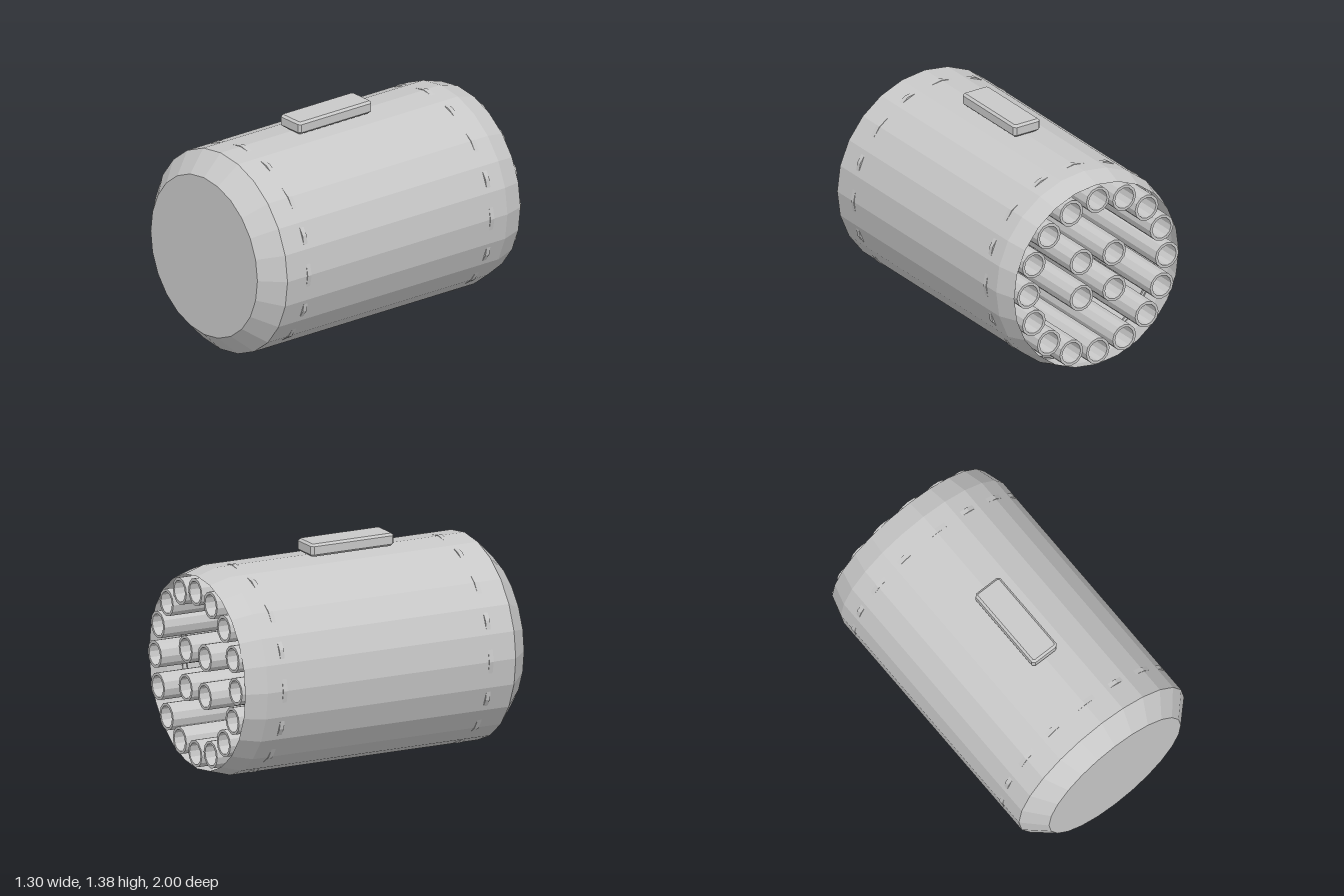
import * as THREE from 'three';

const CENTRE_Y = 0.65;

// Facet a geometry so every polygon is shaded flat
function faceted(geometry) {
  const g = geometry.index ? geometry.toNonIndexed() : geometry;
  g.computeVertexNormals();
  return g;
}

// Revolve [radius, z] pairs (from back to front) around the z axis
function revolve(profile, sides) {
  const points = profile.map(([r, z]) => new THREE.Vector2(r, z));
  return faceted(new THREE.LatheGeometry(points, sides).rotateX(Math.PI / 2));
}

export function createModel() {
  const model = new THREE.Group();
  model.name = 'launcherPod';
  const grey = new THREE.MeshStandardMaterial({ color: 0xc8c8c8, side: THREE.DoubleSide });
  grey.name = 'lightGrey';

  function add(name, geometry, x = 0, y = CENTRE_Y, z = 0) {
    const mesh = new THREE.Mesh(geometry, grey);
    mesh.name = name;
    mesh.position.set(x, y, z);
    model.add(mesh);
  }

  // Hollow shell: open tapered back, straight barrel, chamfered closed front
  add('shell', revolve([[0.605, -0.985], [0.645, -0.85], [0.645, 0.87], [0.515, 1], [0, 1]], 24));

  // Two bands whose corners just break through the shell
  for (const z of [0.7, -0.73]) {
    add('band', revolve([[0.64, -0.015], [0.65, -0.015], [0.65, 0.015], [0.64, 0.015]], 16), 0, CENTRE_Y, z);
  }

  // Open tubes: sixteen around the rim and four in the middle
  const tube = revolve([[0.068, 0.85], [0.068, -1], [0.086, -1], [0.086, 0.85]], 12);
  for (const [count, radius, start] of [[16, 0.508, 0], [4, 0.17, Math.PI / 4]]) {
    for (let i = 0; i < count; i++) {
      const a = start + (i / count) * Math.PI * 2;
      add('tube', tube, Math.cos(a) * radius, CENTRE_Y + Math.sin(a) * radius);
    }
  }

  // Bevelled mounting lug on top
  const bevel = 0.014, w = 0.097 - bevel, l = 0.287 - bevel, c = 0.008;
  const outline = new THREE.Shape([
    [-w + c, -l], [w - c, -l], [w, -l + c], [w, l - c],
    [w - c, l], [-w + c, l], [-w, l - c], [-w, -l + c],
  ].map(([x, y]) => new THREE.Vector2(x, y)));
  const lug = new THREE.ExtrudeGeometry(outline, {
    depth: 0.08 - 2 * bevel, bevelEnabled: true, bevelSize: bevel, bevelThickness: bevel, bevelSegments: 1,
  }).rotateX(-Math.PI / 2);
  add('mountingLug', faceted(lug), 0, 1.3 + bevel, 0.045);

  return model;
}
